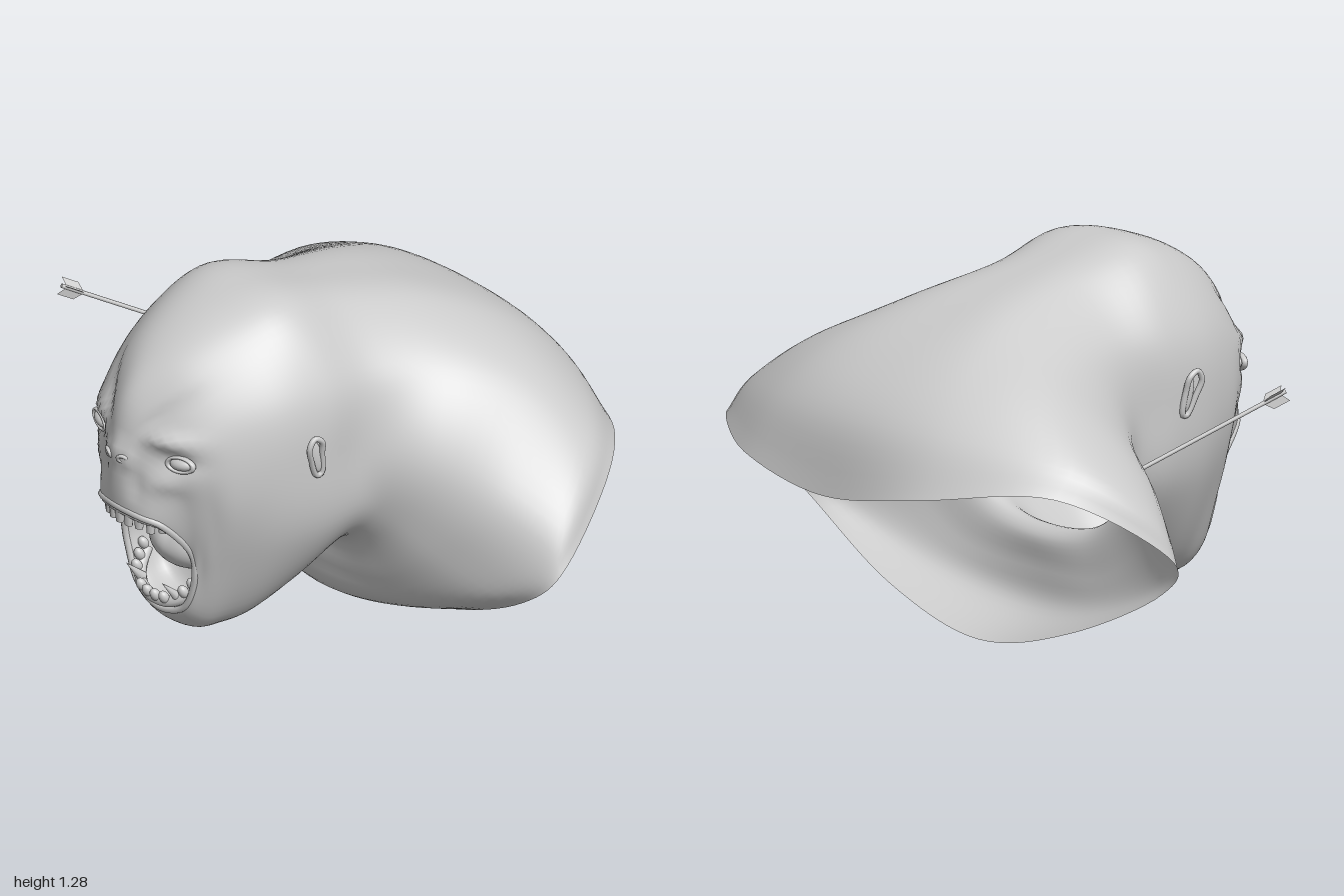
import * as THREE from 'three';

const V = (x, y, z) => new THREE.Vector3(x, y, z);
const skin = new THREE.MeshStandardMaterial({ color: 0xcccccc, side: THREE.DoubleSide });

// Half cross-sections, crown to underside: from the cut edge of the bust to the neck
const torsoRings = [
  [[0, .58, -.86], [.45, .64, -.815], [.82, .67, -.57], [1, .46, -.24], [.87, .3, -.16], [.45, .1, -.19], [0, 0, -.2]],
  [[0, .83, -.78], [.43, .83, -.71], [.8, .77, -.48], [.95, .55, -.22], [.78, .33, -.09], [.42, .15, -.04], [0, .08, 0]],
  [[0, 1, -.59], [.35, .99, -.54], [.62, .91, -.37], [.78, .65, -.13], [.61, .42, -.01], [.36, .24, .02], [0, .2, .04]],
  [[0, 1.13, -.3], [.25, 1.11, -.28], [.46, .98, -.17], [.56, .72, -.02], [.46, .5, .05], [.27, .35, .06], [0, .31, .05]],
  [[0, 1.21, .02], [.2, 1.18, .04], [.385, 1, .07], [.42, .74, .12], [.39, .52, .12], [.24, .37, .13], [0, .33, .13]],
];
// Skull, brow, nose and lips
const headRings = [
  [[0, 1.28, .28], [.22, 1.24, .28], [.385, 1.02, .27], [.415, .77, .3], [.385, .5, .28], [.22, .27, .27], [0, .2, .28]],
  [[0, 1.245, .48], [.2, 1.2, .46], [.36, 1, .45], [.39, .75, .46], [.35, .48, .44], [.2, .2, .42], [0, .13, .4]],
  [[0, 1.14, .67], [.15, 1.1, .65], [.3, .94, .61], [.33, .7, .6], [.28, .44, .56], [.17, .18, .52], [0, .11, .49]],
  [[0, 1, .79], [.11, .95, .765], [.24, .84, .72], [.27, .66, .66], [.24, .43, .62], [.155, .18, .58], [0, .12, .57]],
  [[0, .81, .83], [.09, .79, .805], [.19, .71, .74], [.22, .57, .68], [.205, .4, .64], [.14, .21, .63], [0, .155, .63]],
  [[0, .62, .83], [.1, .61, .81], [.155, .58, .76], [.18, .47, .67], [.175, .36, .65], [.12, .24, .65], [0, .2, .66]],
];
const lip = headRings[5];

function fullRing(half) {
  const pts = half.map(p => V(...p));
  const mirror = pts.slice(1, -1).reverse().map(p => V(-p.x, p.y, p.z));
  return pts.concat(mirror);
}

// Facial relief pushed along z: nose, nostril wings, sockets, brows, furrows, cheeks
function relief(x, y) {
  const ax = Math.abs(x);
  const bump = (cx, cy, sx, sy, h) => h * Math.exp(-(((ax - cx) / sx) ** 2) - ((y - cy) / sy) ** 2);
  const furrow = ax - .06 - (y - .88) * .75;
  return bump(0, .825, .035, .03, .018) + bump(.055, .81, .022, .02, .015)
    + bump(.2, .825, .065, .035, -.03) + bump(.17, .895, .07, .025, .025)
    + bump(.17, .74, .05, .03, .015) + bump(.08, .72, .03, .05, -.012)
    - .016 * Math.exp(-((furrow / .025) ** 2) - ((y - .97) / .08) ** 2);
}

function bodyGeometry() {
  const around = 96, step = 6;
  // Mouth cavity continues inward from the lips
  const inner = (s, zOf) => lip.map(([x, y, z]) => [x * s, .41 + (y - .41) * s, zOf(z)]);
  const rings = [...torsoRings, ...headRings,
    inner(.9, z => z - .03), inner(.88, z => .52 + (z - .65) * .5), inner(.04, () => .45)].map(fullRing);
  const meridians = rings[0].map((_, k) =>
    new THREE.CatmullRomCurve3(rings.map(r => r[k]), false, 'catmullrom', .5));
  const along = (rings.length - 1) * step, pos = [], idx = [];
  for (let i = 0; i <= along; i++) {
    const loop = new THREE.CatmullRomCurve3(meridians.map(m => m.getPoint(i / along)), true, 'catmullrom', .5);
    const r = i / step;
    for (let j = 0; j < around; j++) {
      const p = loop.getPoint(j / around);
      const w = THREE.MathUtils.smoothstep(p.z, .5, .68) * (1 - THREE.MathUtils.smoothstep(r, 9.5, 10));
      pos.push(p.x, p.y, p.z + w * relief(p.x, p.y));
      if (i < along) {
        const a = i * around + j, b = i * around + (j + 1) % around;
        idx.push(a, a + around, b, b, a + around, b + around);
      }
    }
  }
  const g = new THREE.BufferGeometry();
  g.setAttribute('position', new THREE.Float32BufferAttribute(pos, 3));
  g.setIndex(idx);
  g.computeVertexNormals();
  return g;
}

function add(parent, name, geo, at = [0, 0, 0], scale = [1, 1, 1], rot = [0, 0, 0]) {
  const m = new THREE.Mesh(geo, skin);
  m.name = name;
  m.position.set(...at);
  m.scale.set(...scale);
  m.rotation.set(...rot);
  parent.add(m);
  return m;
}

const ball = new THREE.SphereGeometry(1, 20, 14);

function addEye(parent, s) {
  const eye = new THREE.Group();
  eye.name = s > 0 ? 'leftEye' : 'rightEye';
  eye.position.set(.205 * s, .82, .722);
  eye.rotation.set(0, .3 * s, .12 * s);
  add(eye, 'eyeball', ball, [0, 0, 0], [.045, .022, .026]);
  add(eye, 'eyelids', new THREE.TorusGeometry(.05, .009, 8, 28), [0, 0, .008], [1, .52, 1.2]);
  parent.add(eye);
}

function addEar(parent, s) {
  const ear = new THREE.Group();
  ear.name = s > 0 ? 'leftEar' : 'rightEar';
  ear.position.set(.423 * s, .81, .338);
  ear.rotation.set(.22, Math.PI / 2 - .2 * s, 0);
  // Teardrop outer fold, wide at the top and narrowing to the lobe
  const fold = new THREE.CatmullRomCurve3([
    V(0, .08, .016 * s), V(.026, .055, .01 * s), V(.022, .01, 0), V(.008, -.07, -.008 * s),
    V(-.01, -.07, -.006 * s), V(-.024, 0, .008 * s), V(-.025, .055, .02 * s)], true);
  add(ear, 'earFold', new THREE.TubeGeometry(fold, 40, .01, 8, true));
  add(ear, 'earBowl', ball, [0, 0, -.006 * s], [.022, .06, .01]);
  parent.add(ear);
}

function addMouth(parent) {
  const mouth = new THREE.Group();
  mouth.name = 'mouth';
  const rim = new THREE.CatmullRomCurve3(fullRing(lip), true, 'catmullrom', .5);
  add(mouth, 'lips', new THREE.TubeGeometry(rim, 80, .013, 8, true), [0, 0, -.006]);

  // Upper teeth: blunt blocks hanging along the gum arc
  const upper = new THREE.CatmullRomCurve3([V(-.135, .582, .745), V(-.09, .59, .79), V(0, .592, .815), V(.09, .59, .79), V(.135, .582, .745)]);
  add(mouth, 'upperGum', new THREE.TubeGeometry(upper, 24, .016, 8), [0, .012, -.012]);
  for (let i = 0; i < 9; i++) {
    const p = upper.getPointAt(i / 8);
    const long = i === 1 || i === 7 ? .036 : .026;
    add(mouth, 'upperTooth', new THREE.CylinderGeometry(.019, .015, long * 1.5, 8),
      [p.x, p.y - .012, p.z], [1, 1, .75], [0, p.x * 4, 0]);
  }

  // Lower teeth: rounded pegs leaning forward, with two longer canines
  const lower = new THREE.CatmullRomCurve3([V(-.148, .345, .6), V(-.125, .295, .645), V(-.075, .26, .675), V(0, .25, .685), V(.075, .26, .675), V(.125, .295, .645), V(.148, .345, .6)]);
  add(mouth, 'lowerGum', new THREE.TubeGeometry(lower, 32, .02, 8), [0, -.012, -.015]);
  for (let i = 0; i < 12; i++) {
    const p = lower.getPointAt(i / 11);
    const canine = i === 3 || i === 8;
    if (canine) add(mouth, 'lowerCanine', new THREE.ConeGeometry(.018, .1, 10), [p.x, p.y + .035, p.z + .015], [1, 1, 1], [.75, 0, 0]);
    else add(mouth, 'lowerTooth', ball, [p.x, p.y + .008, p.z], [.018, .025, .017], [.5, 0, 0]);
  }

  // Tongue, with a shallow groove down the middle
  const tongue = new THREE.SphereGeometry(1, 32, 20);
  const t = tongue.attributes.position;
  for (let i = 0; i < t.count; i++) {
    const x = t.getX(i), y = t.getY(i);
    if (y > 0) t.setY(i, y * (1 - .2 * Math.exp(-((x / .25) ** 2))));
  }
  tongue.computeVertexNormals();
  add(mouth, 'tongue', tongue, [0, .41, .54], [.15, .085, .1], [.25, 0, 0]);
  parent.add(mouth);
}

function addArrow(parent) {
  const tip = V(-.665, .65, -.145), tail = V(-.895, .905, .345);
  const arrow = new THREE.Group();
  arrow.name = 'arrow';
  const length = tip.distanceTo(tail);
  arrow.position.copy(tip);
  arrow.quaternion.setFromUnitVectors(V(0, 1, 0), tail.clone().sub(tip).normalize());
  add(arrow, 'shaft', new THREE.CylinderGeometry(.007, .007, length, 8), [0, length / 2, 0]);
  const vane = new THREE.Shape([[0, 0], [.034, .025], [.034, .085], [0, .065]].map(p => new THREE.Vector2(...p)));
  for (let i = 0; i < 3; i++) {
    add(arrow, 'fletching', new THREE.ShapeGeometry(vane), [0, length - .085, 0], [1, 1, 1], [0, i * Math.PI * 2 / 3, 0]);
  }
  parent.add(arrow);
}

export function createModel() {
  const model = new THREE.Group();
  model.name = 'roaringBust';
  add(model, 'headAndShoulders', bodyGeometry());
  for (const s of [-1, 1]) {
    addEye(model, s);
    addEar(model, s);
    // Nostrils
    add(model, 'nostril', new THREE.TorusGeometry(.016, .007, 8, 16), [.035 * s, .805, .832], [1.1, .8, 1], [.4, .4 * s, 0]);
  }
  addMouth(model);
  addArrow(model);
  return model;
}
